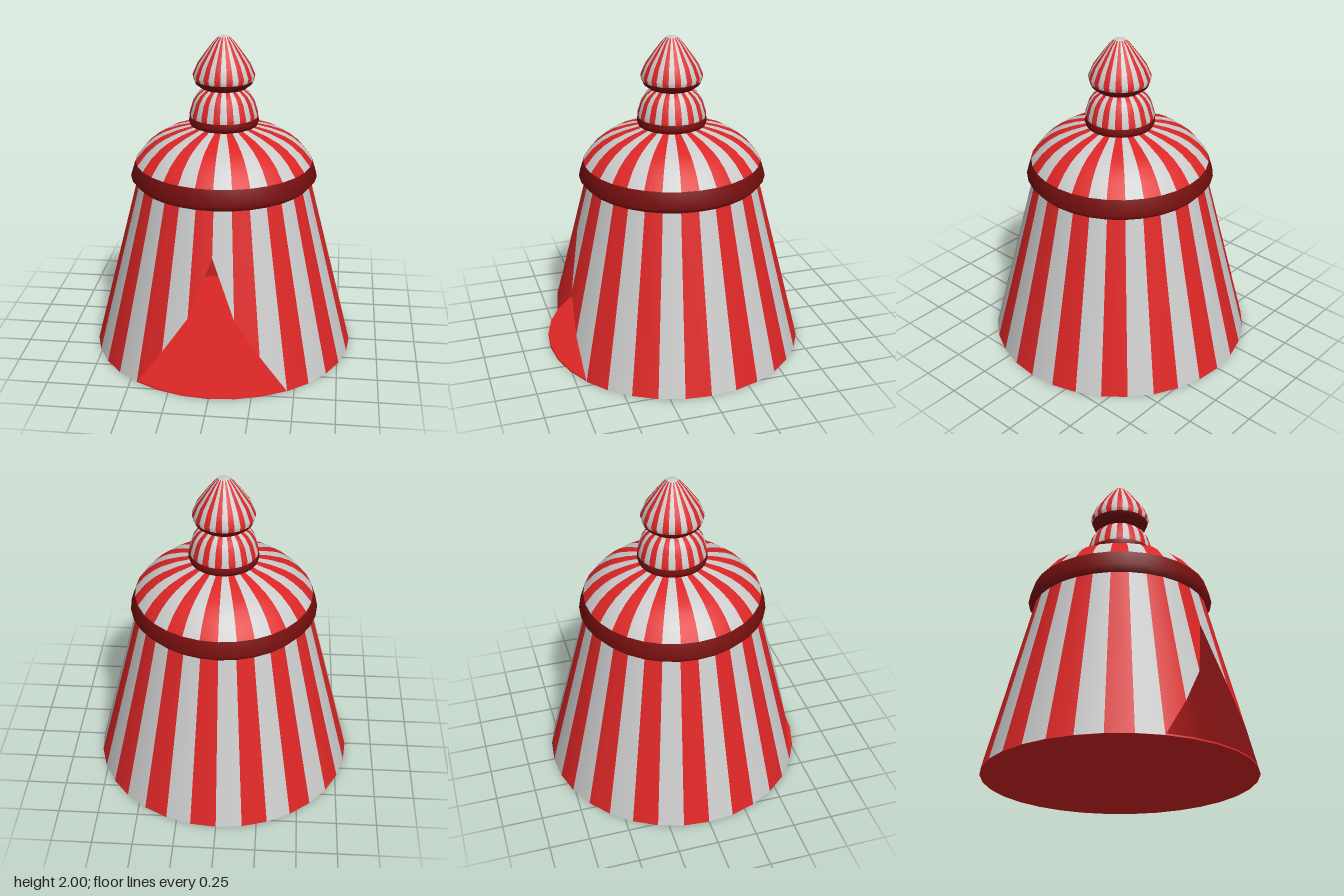
import * as THREE from 'three';

const SIDES = 32;
const paint = (color, side = THREE.FrontSide) => new THREE.MeshStandardMaterial({ color, side });

export function createModel() {
  const tent = new THREE.Group();
  tent.name = 'stripedTent';
  const white = paint(0xcccccc);
  const red = paint(0xdc2626);
  const darkRed = paint(0x7c1010);
  const lining = paint(0xdc2626, THREE.BackSide);

  const lathe = (profile) =>
    new THREE.LatheGeometry(profile.map(([r, y]) => new THREE.Vector2(r, y)), SIDES);

  function add(name, geometry, material, parent = tent) {
    const mesh = new THREE.Mesh(geometry, material);
    mesh.name = name;
    parent.add(mesh);
    return mesh;
  }

  // Split a lathe into alternating white and red panels
  function addStriped(name, geometry) {
    const group = new THREE.Group();
    group.name = name;
    const index = Array.from(geometry.index.array);
    const step = index.length / SIDES;
    [white, red].forEach((material, parity) => {
      const half = geometry.clone();
      half.setIndex(index.filter((_, i) => Math.floor(i / step) % 2 === parity));
      add(name + (parity ? 'RedStripes' : 'WhiteStripes'), half, material, group);
    });
    tent.add(group);
  }

  // Sloping wall: the hem is lifted along the cone at the front for the doorway
  const baseR = 0.825, topR = 0.545, wallH = 1.09;
  const doorHeights = [0.82, 0.46, 0.235];
  const wall = lathe([[baseR, 0], [topR, wallH]]);
  const pos = wall.attributes.position;
  for (let i = 0; i <= SIDES; i++) {
    const y = doorHeights[Math.min(i, SIDES - i)] ?? 0;
    const r = baseR + (topR - baseR) * y / wallH;
    const a = i / SIDES * Math.PI * 2;
    pos.setXYZ(i * 2, r * Math.sin(a), y, r * Math.cos(a));
  }
  addStriped('wall', wall);
  add('wallLining', wall, lining);

  // Floor
  const floor = add('floor', new THREE.CylinderGeometry(0.82, 0.822, 0.01, SIDES), red);
  floor.position.y = 0.005;

  // Striped roof tiers
  addStriped('roof', lathe([[0.55, 1.225], [0.535, 1.245], [0.49, 1.3], [0.43, 1.35],
    [0.375, 1.382], [0.29, 1.415], [0.18, 1.445]]));
  addStriped('middleBulb', lathe([[0.21, 1.505], [0.21, 1.53], [0.187, 1.605],
    [0.16, 1.645], [0.12, 1.675], [0.08, 1.69]]));
  addStriped('finial', lathe([[0.182, 1.733], [0.19, 1.765], [0.16, 1.835],
    [0.11, 1.905], [0.065, 1.965], [0.035, 1.995]]));
  add('finialTip', lathe([[0.035, 1.995], [0.02, 2], [0, 2]]), white);

  // Dark trim bands between the tiers
  const bands = {
    roofBand: [[0.54, 1.085], [0.58, 1.13], [0.55, 1.225]],
    bulbBand: [[0.18, 1.443], [0.207, 1.455], [0.215, 1.48], [0.21, 1.507]],
    finialBand: [[0.09, 1.68], [0.14, 1.685], [0.172, 1.71], [0.182, 1.735]],
  };
  for (const [name, profile] of Object.entries(bands)) add(name, lathe(profile), darkRed);

  return tent;
}
